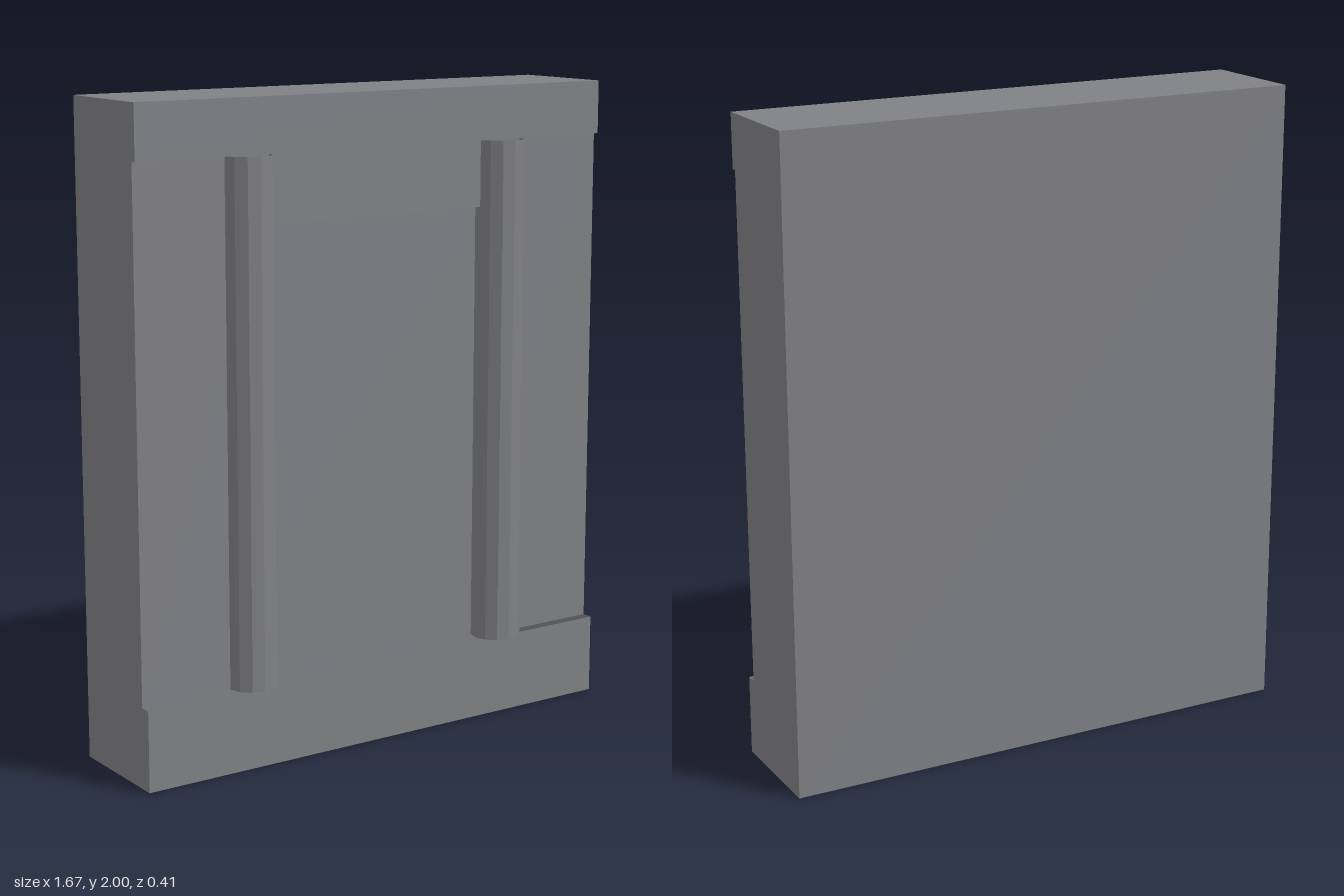
import * as THREE from 'three';

export function createModel() {
  const model = new THREE.Group();
  model.name = 'panelledWall';

  // Everything is a thin open shell
  const stone = new THREE.MeshStandardMaterial({ color: 0x808184, side: THREE.DoubleSide, flatShading: true });
  stone.name = 'grey stone';

  const HALF = 0.833, BACK = -0.205, WALL = 0.13;
  const BASE_TOP = 0.25, LINTEL = 1.835, PANEL_TOP = 1.63, INNER = 0.385;

  const add = (name, geometry, parent = model) => {
    const mesh = new THREE.Mesh(geometry, stone);
    mesh.name = name;
    parent.add(mesh);
    return mesh;
  };

  // Upright plate facing +z (or -z when turned)
  const plate = (name, x0, x1, y0, y1, z, parent, back = false) => {
    const g = new THREE.PlaneGeometry(x1 - x0, y1 - y0);
    if (back) g.rotateY(Math.PI);
    g.translate((x0 + x1) / 2, (y0 + y1) / 2, z);
    return add(name, g, parent);
  };

  // Pair of end walls for one height band
  const ends = (name, y0, y1, front, parent) => {
    for (const s of [-1, 1]) {
      const g = new THREE.PlaneGeometry(front - BACK, y1 - y0);
      g.rotateY(s * Math.PI / 2);
      g.translate(s * HALF, (y0 + y1) / 2, (front + BACK) / 2);
      add(name + (s > 0 ? 'Left' : 'Right'), g, parent);
    }
  };

  // Back wall
  plate('backWall', -HALF, HALF, 0, 2, BACK, model, true);

  // Base band
  const base = new THREE.Group();
  base.name = 'base';
  model.add(base);
  plate('baseFront', -HALF, HALF, 0, BASE_TOP, 0.165, base);
  ends('baseEnd', 0, BASE_TOP, 0.165, base);

  // Top band with its closed top
  const lintel = new THREE.Group();
  lintel.name = 'lintel';
  model.add(lintel);
  plate('lintelFront', -HALF, HALF, LINTEL, 2, 0.148, lintel);
  ends('lintelEnd', LINTEL, 2, 0.148, lintel);
  const top = new THREE.PlaneGeometry(2 * HALF, 0.148 - BACK);
  top.rotateX(-Math.PI / 2);
  top.translate(0, 2, (0.148 + BACK) / 2);
  add('lintelTop', top, lintel);

  // Wall face around the recess
  ends('wallEnd', BASE_TOP, LINTEL, WALL, model);
  plate('wallRight', -HALF, -INNER, BASE_TOP, LINTEL, WALL, model);
  plate('wallLeft', INNER, HALF, BASE_TOP, LINTEL, WALL, model);
  plate('recessHeader', -INNER, INNER, PANEL_TOP, LINTEL, WALL, model);

  // Recessed centre panel, running behind the columns
  plate('recessPanel', -0.53, 0.53, BASE_TOP, PANEL_TOP, 0, model);

  // Open-ended columns
  for (const s of [-1, 1]) {
    const g = new THREE.CylinderGeometry(0.075, 0.075, LINTEL - BASE_TOP, 12, 1, true);
    g.translate(s * 0.458, (LINTEL + BASE_TOP) / 2, WALL);
    add(s > 0 ? 'columnLeft' : 'columnRight', g);
  }

  return model;
}
